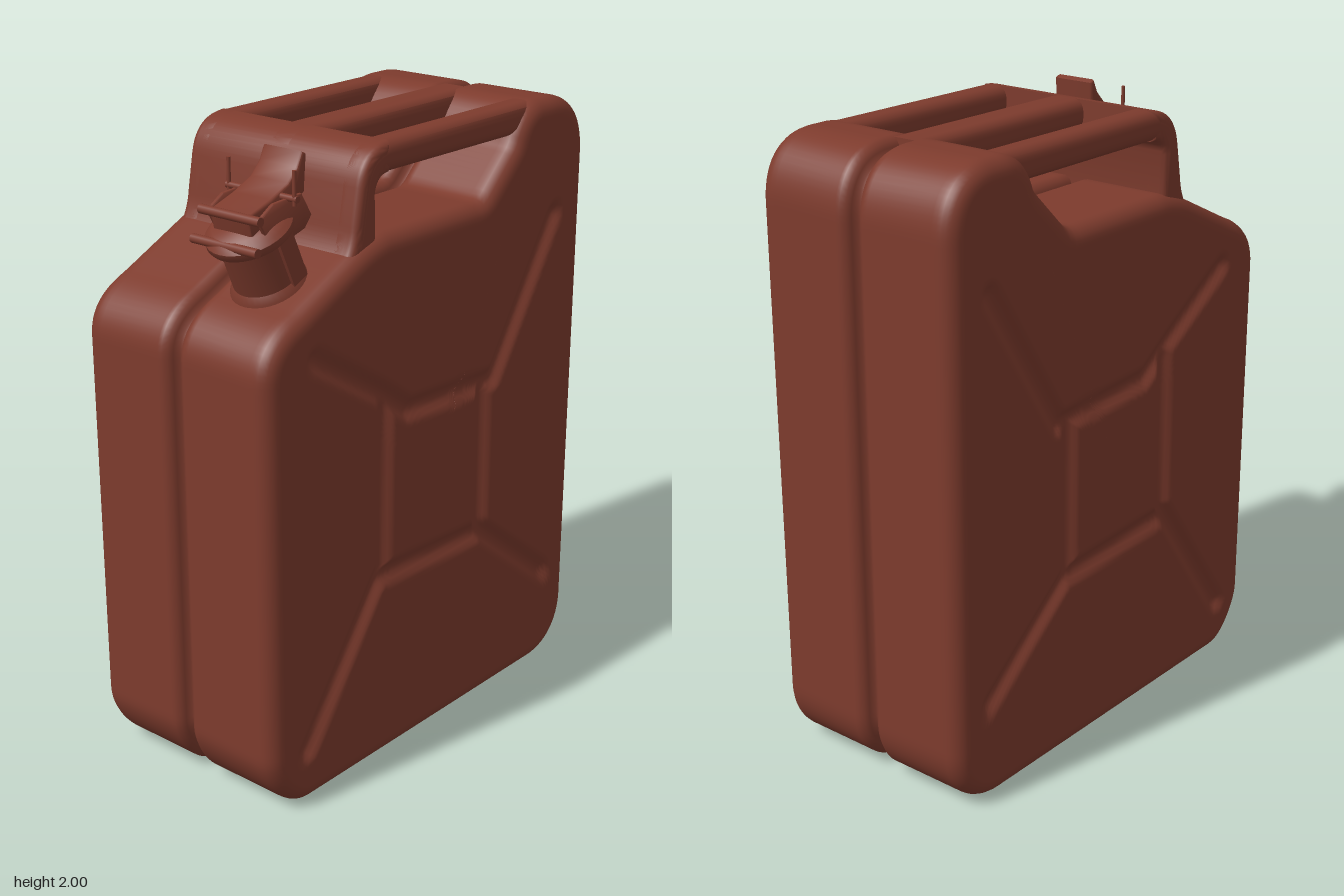
import * as THREE from 'three';
import { toCreasedNormals } from 'three/addons/utils/BufferGeometryUtils.js';

const paint = new THREE.MeshStandardMaterial({ color: 0x7d3b2d });
paint.name = 'redBrownPaint';

function addMesh(parent, geometry, name, x = 0, y = 0, z = 0) {
  const mesh = new THREE.Mesh(geometry, paint);
  mesh.name = name;
  mesh.position.set(x, y, z);
  parent.add(mesh);
  return mesh;
}

// Extrusion centred on z, rounded without growing past its outline
function slab(shape, width, round, segments = 5) {
  const geo = new THREE.ExtrudeGeometry(shape, {
    depth: width - 2 * round, bevelEnabled: true, bevelThickness: round,
    bevelSize: round, bevelOffset: -round, bevelSegments: segments, curveSegments: 10,
  });
  geo.translate(0, 0, -width / 2 + round);
  return toCreasedNormals(geo, 0.8);
}

// Side outline of the can, counter-clockwise
function bodyOutline() {
  const s = new THREE.Shape();
  s.moveTo(-0.6, 0);
  s.lineTo(0.58, 0);
  s.bezierCurveTo(0.69, 0.005, 0.765, 0.09, 0.765, 0.2);
  s.lineTo(0.768, 1.8);
  s.bezierCurveTo(0.768, 1.92, 0.7, 2, 0.58, 2);
  s.lineTo(0.51, 2);
  s.quadraticCurveTo(0.42, 1.99, 0.385, 1.88);
  s.lineTo(0.25, 1.75);
  s.quadraticCurveTo(0.23, 1.73, 0.2, 1.73);
  s.lineTo(-0.24, 1.73);
  s.quadraticCurveTo(-0.32, 1.72, -0.4, 1.68);
  s.lineTo(-0.62, 1.575);
  s.quadraticCurveTo(-0.768, 1.52, -0.768, 1.4);
  s.lineTo(-0.768, 0.2);
  s.bezierCurveTo(-0.768, 0.12, -0.68, 0.0, -0.6, 0);
  return s.getSpacedPoints(320).slice(0, -1);
}

// Pressed grooves of the side panels
const GROOVES = [
  [[-0.56, 1.43], [-0.27, 1.25], [-0.14, 1.16], [0.29, 1.14], [0.6, 1.62]],
  [[-0.61, 0.18], [-0.26, 0.67], [-0.25, 1.2]],
  [[-0.26, 0.645], [0.25, 0.62], [0.62, 0.33]],
  [[0.24, 0.62], [0.24, 1.14]],
];

function grooveDepth(x, y) {
  let near = 1;
  for (const line of GROOVES) {
    for (let i = 0; i + 1 < line.length; i++) {
      const [ax, ay] = line[i], dx = line[i + 1][0] - ax, dy = line[i + 1][1] - ay;
      const t = THREE.MathUtils.clamp(((x - ax) * dx + (y - ay) * dy) / (dx * dx + dy * dy), 0, 1);
      near = Math.min(near, Math.hypot(x - ax - t * dx, y - ay - t * dy));
    }
  }
  return 0.022 * (1 - THREE.MathUtils.smoothstep(near, 0.005, 0.05));
}

// One half of the can: seam groove, wall, rounded rim and pressed panel
function halfShell(side) {
  const outline = bodyOutline(), n = outline.length;
  const normals = outline.map((p, j) => {
    const a = outline[(j + n - 2) % n], b = outline[(j + 2) % n];
    return new THREE.Vector2(a.y - b.y, b.x - a.x).normalize();
  });
  const inset = d => outline.map((p, j) => p.clone().addScaledVector(normals[j], d));
  const depth = 0.372, round = 0.055, rings = [];
  const addRing = (z, d) => rings.push(inset(d).map(p => [p.x, p.y, z]));
  for (const [z, d] of [[0, 0.045], [0.014, 0.045], [0.02, 0.025], [0.028, 0.01], [0.045, 0], [0.06, 0], [0.3, 0]]) addRing(z, d);
  for (let i = 0; i <= 6; i++) {
    const a = (i / 6) * Math.PI / 2;
    addRing(depth - round + round * Math.sin(a), round * (1 - Math.cos(a)));
  }
  const rim = inset(round), cx = 0, cy = 0.9, steps = 56;
  for (let i = 1; i <= steps; i++) {
    const t = 1 - i / steps;
    rings.push(rim.map(p => {
      const x = cx + (p.x - cx) * t, y = cy + (p.y - cy) * t;
      return [x, y, depth - grooveDepth(x, y)];
    }));
  }
  const positions = [], index = [];
  rings.forEach(ring => ring.forEach(([x, y, z]) => positions.push(x, y, z * side)));
  for (let i = 0; i + 1 < rings.length; i++) {
    for (let j = 0; j < n; j++) {
      const a = i * n + j, b = i * n + (j + 1) % n, c = b + n, d = a + n;
      if (side > 0) index.push(a, b, c, a, c, d);
      else index.push(a, c, b, a, d, c);
    }
  }
  const geo = new THREE.BufferGeometry();
  geo.setAttribute('position', new THREE.Float32BufferAttribute(positions, 3));
  geo.setIndex(index);
  geo.computeVertexNormals();
  return geo;
}

// Left edge shared by the handle bars and their foot
function startHandle() {
  const s = new THREE.Shape();
  s.moveTo(-0.26, 1.66);
  s.lineTo(-0.42, 1.64);
  s.quadraticCurveTo(-0.365, 1.69, -0.355, 1.77);
  s.lineTo(-0.335, 1.88);
  s.quadraticCurveTo(-0.315, 1.99, -0.2, 1.995);
  return s;
}

function handleBar() {
  const s = startHandle();
  s.lineTo(0.54, 1.998);
  s.lineTo(0.54, 1.9);
  s.lineTo(-0.21, 1.9);
  s.quadraticCurveTo(-0.255, 1.9, -0.262, 1.85);
  return s;
}

function handleFoot() {
  const s = startHandle();
  s.lineTo(-0.2, 1.9);
  s.quadraticCurveTo(-0.255, 1.9, -0.262, 1.85);
  return s;
}

function polygon(points) {
  return new THREE.Shape(points.map(([x, y]) => new THREE.Vector2(x, y)));
}

// Tilted pouring neck with its clamped lid
function buildSpout() {
  const spout = new THREE.Group();
  spout.name = 'spout';
  spout.position.set(-0.535, 1.62, 0.165);
  spout.rotation.z = 0.42;

  const profile = [[0.125, -0.05], [0.115, 0], [0.1, 0.02], [0.098, 0.16], [0.125, 0.165], [0.13, 0.175],
    [0.13, 0.19], [0.12, 0.2], [0.1, 0.215], [0, 0.22]];
  const neck = new THREE.LatheGeometry(profile.map(([x, y]) => new THREE.Vector2(x, y)), 36);
  addMesh(spout, toCreasedNormals(neck, 0.6), 'neckAndLid');

  // Locking lever over the lid, curling up at the thumb end
  const lever = polygon([[-0.06, 0.21], [-0.05, 0.275], [0.05, 0.265], [0.13, 0.265], [0.18, 0.285],
    [0.215, 0.315], [0.228, 0.3], [0.2, 0.25], [0.175, 0.205], [0.12, 0.2]]);
  addMesh(spout, slab(lever, 0.15, 0.008, 2), 'lockingLever');

  for (const side of [-1, 1]) {
    addMesh(spout, new THREE.BoxGeometry(0.06, 0.18, 0.02), 'neckStrap', 0.025, 0.1, side * 0.1);
    const arm = polygon([[-0.03, 0.15], [-0.04, 0.26], [0.03, 0.27], [0.14, 0.23], [0.15, 0.15], [0.11, 0.13]]);
    addMesh(spout, slab(arm, 0.014, 0.003, 1), 'clampArm', 0, 0, side * 0.095);
    const pin = addMesh(spout, new THREE.CylinderGeometry(0.006, 0.006, 0.1, 10), 'uprightPin', 0.1, 0.28, side * 0.125);
    pin.rotation.z = -0.42;
  }

  // Hinge rods running across the lid
  for (const [x, y, r, length] of [[-0.1, 0.2, 0.014, 0.25], [-0.045, 0.265, 0.014, 0.23],
    [0.09, 0.25, 0.01, 0.27], [0.125, 0.14, 0.024, 0.15]]) {
    const rod = addMesh(spout, new THREE.CylinderGeometry(r, r, length, 14), 'hingeRod', x, y, 0);
    rod.rotation.x = Math.PI / 2;
  }
  return spout;
}

export function createModel() {
  const can = new THREE.Group();
  can.name = 'fuelCan';

  addMesh(can, halfShell(1), 'frontShell');
  addMesh(can, halfShell(-1), 'backShell');

  // Three carrying bars joined by one foot
  addMesh(can, slab(handleFoot(), 0.69, 0.025), 'handleFoot');
  for (const [z, width] of [[-0.293, 0.105], [0, 0.14], [0.293, 0.105]]) {
    addMesh(can, slab(handleBar(), width, 0.036), 'handleBar', 0, 0, z);
  }

  can.add(buildSpout());
  return can;
}
